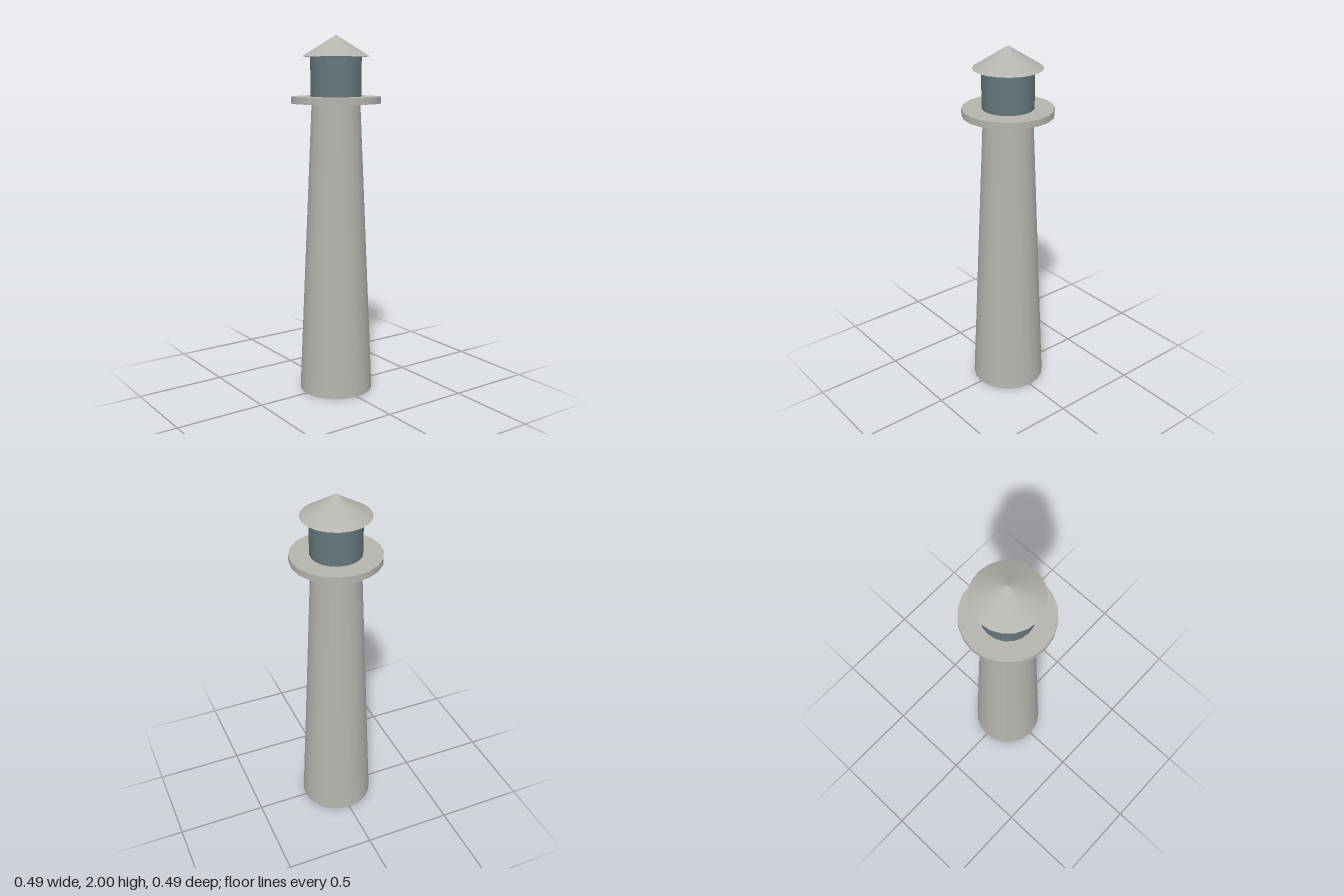
import * as THREE from 'three';

const SIDES = 20;

export function createModel() {
  const model = new THREE.Group();
  model.name = 'lighthouse';

  const stone = new THREE.MeshStandardMaterial({ color: 0xb4b5ae });
  stone.name = 'pale stone';
  const glass = new THREE.MeshStandardMaterial({ color: 0x65777b });
  glass.name = 'blue-grey glass';

  // Round section standing between two heights
  function addRound(name, bottomRadius, topRadius, bottomY, topY, material) {
    const height = topY - bottomY;
    const geometry = topRadius === 0
      ? new THREE.ConeGeometry(bottomRadius, height, SIDES)
      : new THREE.CylinderGeometry(topRadius, bottomRadius, height, SIDES);
    const mesh = new THREE.Mesh(geometry, material);
    mesh.name = name;
    mesh.position.y = bottomY + height / 2;
    model.add(mesh);
  }

  addRound('tower', 0.206, 0.134, 0, 1.633, stone);
  addRound('gallery', 0.247, 0.247, 1.633, 1.67, stone);
  addRound('lanternRoom', 0.14, 0.14, 1.67, 1.884, glass);
  addRound('roof', 0.187, 0, 1.884, 2, stone);

  return model;
}
